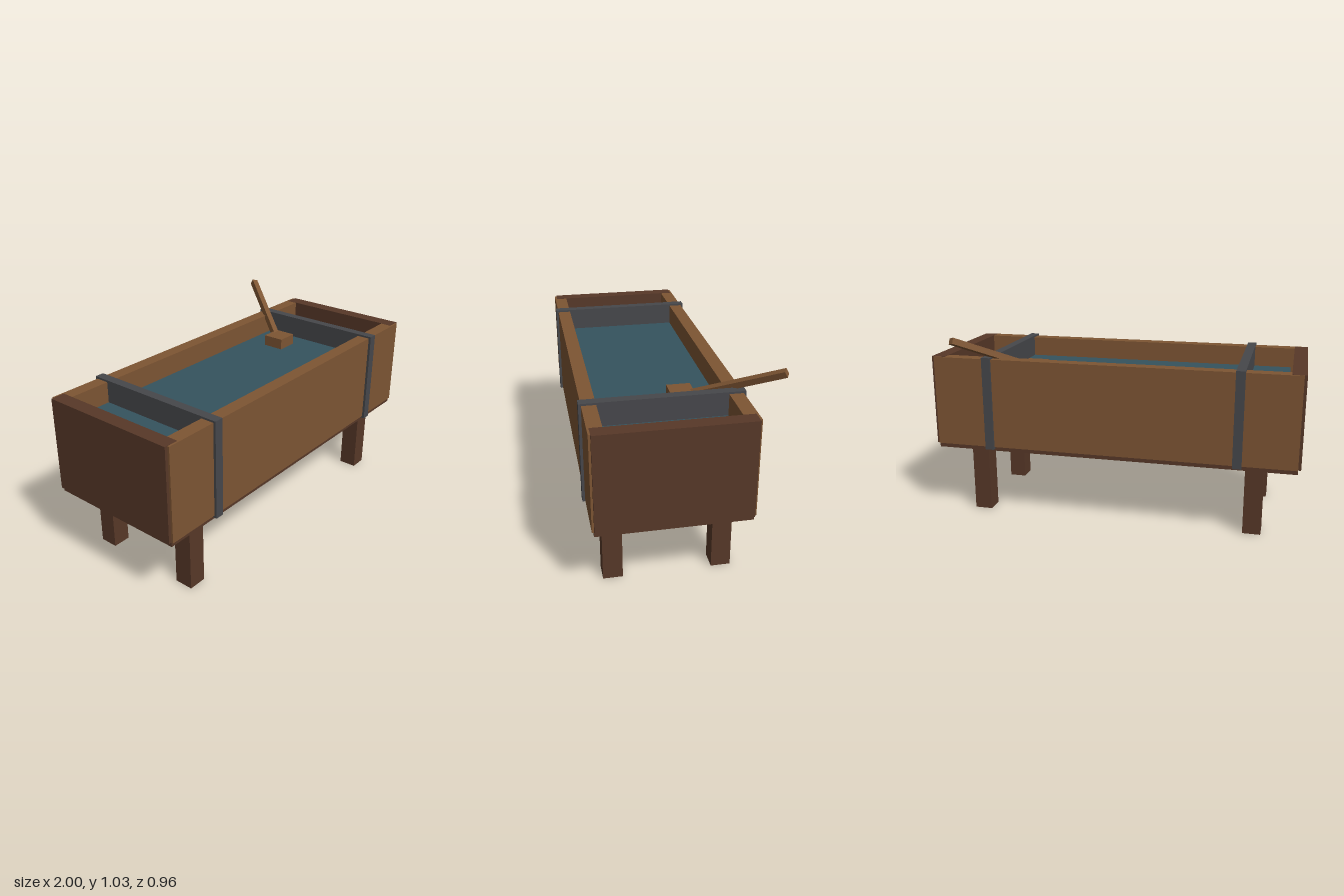
import * as THREE from 'three';

const paint = (name, color) => {
  const m = new THREE.MeshStandardMaterial({ color });
  m.name = name;
  return m;
};

export function createModel() {
  const wood = paint('plankWood', 0x7d5533);
  const darkWood = paint('darkWood', 0x573828);
  const iron = paint('iron', 0x46474b);
  const water = paint('water', 0x35535e);

  const model = new THREE.Group();
  model.name = 'waterTrough';

  const box = (name, size, position, material) => {
    const mesh = new THREE.Mesh(new THREE.BoxGeometry(...size), material);
    mesh.name = name;
    mesh.position.set(...position);
    model.add(mesh);
    return mesh;
  };

  const midZ = 0.087; // the trough sits forward so the ladle handle balances it

  // Floor and water
  box('base', [1.97, 0.03, 0.745], [0, 0.388, midZ], darkWood);
  box('water', [1.82, 0.38, 0.66], [0, 0.59, midZ], water);

  // Long plank walls
  for (const s of [1, -1]) {
    box(s > 0 ? 'frontWall' : 'backWall', [1.97, 0.493, 0.07], [0, 0.6435, midZ + s * 0.347], wood);
  }

  // Ends, iron bands and legs, mirrored left and right
  for (const s of [1, -1]) {
    const side = s > 0 ? 'left' : 'right';
    box(side + 'End', [0.075, 0.494, 0.743], [s * 0.9625, 0.644, midZ], darkWood);
    box(side + 'Band', [0.048, 0.515, 0.79], [s * 0.678, 0.6425, midZ], iron);
    for (const f of [1, -1]) {
      box(side + (f > 0 ? 'FrontLeg' : 'BackLeg'), [0.096, 0.378, 0.098],
        [s * 0.765, 0.189, midZ + f * 0.272], darkWood);
    }
  }

  // Ladle floating in the water, with a slanted handle
  box('ladleCup', [0.12, 0.12, 0.12], [0.49, 0.78, -0.04], wood);
  const handle = box('ladleHandle', [0.033, 0.593, 0.033], [0.63, 0.902, -0.243], wood);
  handle.rotation.set(-1.1, 0, -0.57);

  return model;
}
